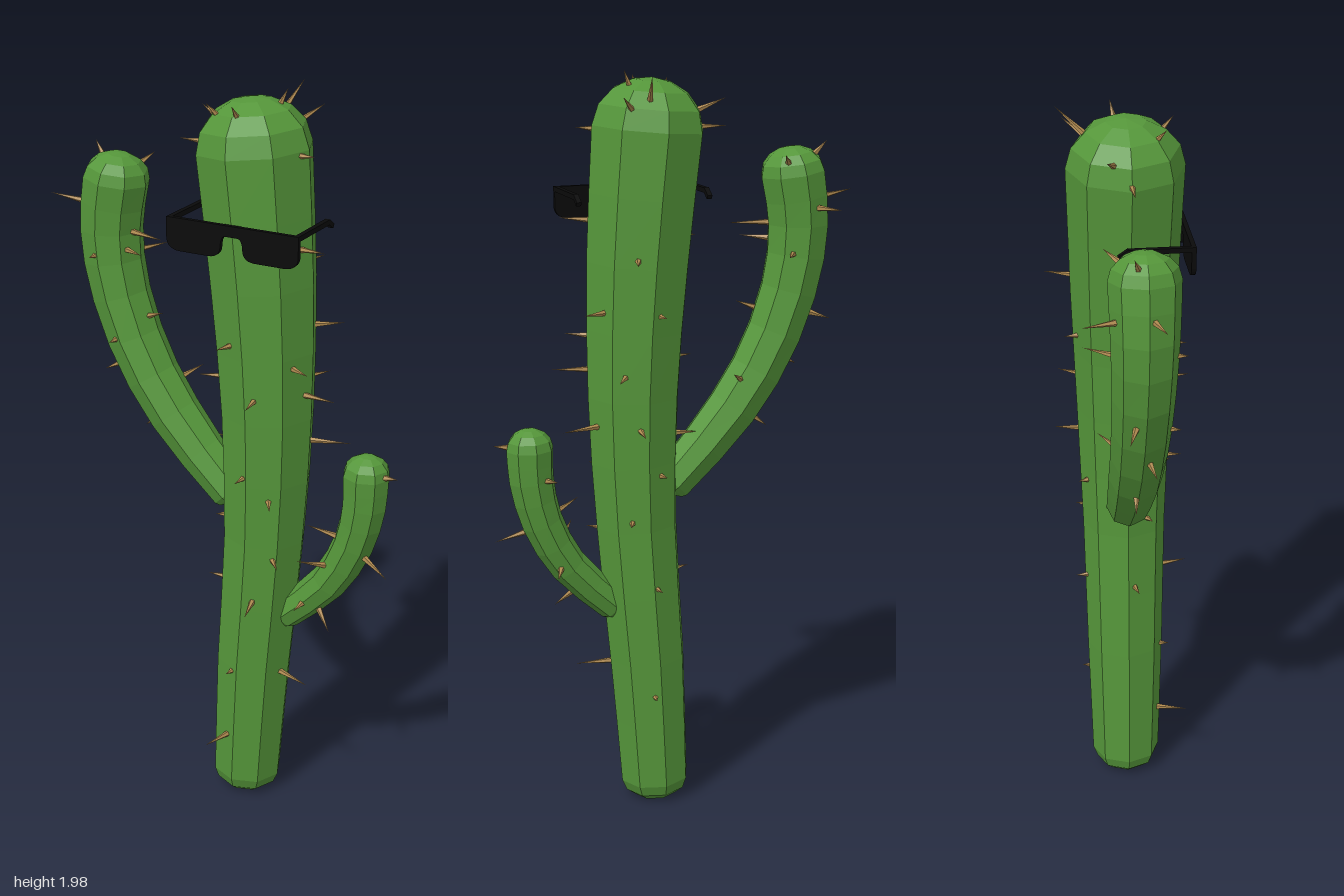
import * as THREE from 'three';

const green = new THREE.MeshStandardMaterial({ color: 0x55963a, flatShading: true });
const tan = new THREE.MeshStandardMaterial({ color: 0xb08a50, flatShading: true });
const black = new THREE.MeshStandardMaterial({ color: 0x0a0a0a });
const SIDES = 8;
const Z = new THREE.Vector3(0, 0, 1);
const Z_MID = 0.01;

// An octagonal stem along points [x, y, radius], with a domed top and a rounded foot
function makeStem(name, points, domeHeight, footHeight, steps) {
  const curve = new THREE.CatmullRomCurve3(points.map(([x, y]) => new THREE.Vector3(x, y, Z_MID)));
  const frame = (t) => {
    const f = t * (points.length - 1);
    const i = Math.min(Math.floor(f), points.length - 2);
    const T = curve.getTangent(t);
    return {
      c: curve.getPoint(t), T, A: new THREE.Vector3(T.y, -T.x, 0),
      r: THREE.MathUtils.lerp(points[i][2], points[i + 1][2], f - i),
    };
  };
  const radial = (fr, a) => fr.A.clone().multiplyScalar(Math.cos(a)).addScaledVector(Z, Math.sin(a));

  const pos = [], index = [];
  const addRing = (fr, scale, shift) => {
    for (let i = 0; i < SIDES; i++) {
      const p = fr.c.clone().addScaledVector(fr.T, shift)
        .addScaledVector(radial(fr, (i / SIDES) * Math.PI * 2), fr.r * scale);
      pos.push(p.x, p.y, p.z);
    }
  };
  const first = frame(0), last = frame(1);
  addRing(first, 0.001, -footHeight);
  addRing(first, 0.62, -footHeight);
  addRing(first, 0.88, -footHeight * 0.6);
  for (let s = 0; s <= steps; s++) addRing(frame(s / steps), 1, 0);
  for (const deg of [25, 48, 70, 89.9]) {
    const a = THREE.MathUtils.degToRad(deg);
    addRing(last, Math.cos(a), domeHeight * Math.sin(a));
  }
  const rings = pos.length / 3 / SIDES;
  for (let k = 0; k < rings - 1; k++) {
    for (let i = 0; i < SIDES; i++) {
      const a = k * SIDES + i, b = k * SIDES + (i + 1) % SIDES;
      index.push(a, a + SIDES, b, b, a + SIDES, b + SIDES);
    }
  }
  const geo = new THREE.BufferGeometry();
  geo.setAttribute('position', new THREE.Float32BufferAttribute(pos, 3));
  geo.setIndex(index);
  geo.computeVertexNormals();
  const mesh = new THREE.Mesh(geo, green);
  mesh.name = name;

  // Spines given as [height, angle, length, tilt]; angle 0 is +x, 90 is the front
  const addSpines = (list) => {
    const group = new THREE.Group();
    group.name = name + 'Spines';
    for (const [y, deg, len, tiltDeg = 0] of list) {
      let lo = 0, hi = 1;
      for (let n = 0; n < 20; n++) {
        const mid = (lo + hi) / 2;
        if (curve.getPoint(mid).y < y) lo = mid; else hi = mid;
      }
      const fr = frame(lo), tilt = THREE.MathUtils.degToRad(tiltDeg);
      const out = radial(fr, THREE.MathUtils.degToRad(deg));
      const dir = out.clone().multiplyScalar(Math.cos(tilt)).addScaledVector(fr.T, Math.sin(tilt));
      const base = fr.c.clone().addScaledVector(out, fr.r * 0.9 * Math.cos(tilt))
        .addScaledVector(fr.T, domeHeight * 0.9 * Math.sin(tilt));
      const spine = new THREE.Mesh(new THREE.ConeGeometry(0.0085, len, 5).translate(0, len / 2, 0), tan);
      spine.name = 'spine';
      spine.position.copy(base);
      spine.quaternion.setFromUnitVectors(new THREE.Vector3(0, 1, 0), dir.normalize());
      group.add(spine);
    }
    return group;
  };
  return { mesh, addSpines };
}

// Sunglasses: one front plate with both lenses, plus two hooked temples
function makeSunglasses() {
  const glasses = new THREE.Group();
  glasses.name = 'sunglasses';
  const half = 0.183, top = 0.042, low = -0.042;
  const s = new THREE.Shape();
  s.moveTo(-half, top);
  s.lineTo(-half, -0.015);
  s.quadraticCurveTo(-half + 0.005, low, -half + 0.04, low);
  s.lineTo(-0.065, low);
  s.quadraticCurveTo(-0.033, low, -0.031, -0.015);
  s.quadraticCurveTo(-0.03, 0.013, -0.018, 0.014);
  s.lineTo(0.018, 0.014);
  s.quadraticCurveTo(0.03, 0.013, 0.031, -0.015);
  s.quadraticCurveTo(0.033, low, 0.065, low);
  s.lineTo(half - 0.04, low);
  s.quadraticCurveTo(half - 0.005, low, half, -0.015);
  s.lineTo(half, top);
  s.closePath();
  const front = new THREE.Mesh(
    new THREE.ExtrudeGeometry(s, { depth: 0.012, bevelEnabled: false, curveSegments: 6 }), black);
  front.name = 'lensFrame';
  front.position.z = 0.156;
  glasses.add(front);
  for (const side of [-1, 1]) {
    const temple = new THREE.Mesh(new THREE.BoxGeometry(0.013, 0.013, 0.164), black);
    temple.name = 'temple';
    temple.position.set(side * (half - 0.0065), top - 0.0065, 0.08);
    const hook = new THREE.Mesh(new THREE.BoxGeometry(0.013, 0.012, 0.032), black);
    hook.name = 'templeHook';
    hook.position.set(side * (half - 0.0065), top - 0.013, -0.011);
    hook.rotation.x = -0.6;
    glasses.add(temple, hook);
  }
  glasses.position.set(0.092, 1.641, 0);
  return glasses;
}

export function createModel() {
  const model = new THREE.Group();
  model.name = 'cactus';

  const trunk = makeStem('trunk', [
    [0.06, 0.06, 0.095], [0.08, 0.42, 0.105], [0.108, 0.8, 0.112],
    [0.115, 1.15, 0.125], [0.1, 1.5, 0.14], [0.071, 1.84, 0.151],
  ], 0.128, 0.05, 10);
  const rightArm = makeStem('rightArm', [
    [0.01, 0.9, 0.058], [-0.15, 1.07, 0.07], [-0.265, 1.245, 0.075],
    [-0.335, 1.44, 0.08], [-0.35, 1.59, 0.085], [-0.333, 1.71, 0.089],
  ], 0.07, 0.02, 9);
  const leftArm = makeStem('leftArm', [
    [0.175, 0.575, 0.045], [0.3, 0.7, 0.05], [0.37, 0.83, 0.055],
    [0.397, 0.947, 0.06], [0.4, 1.03, 0.063],
  ], 0.055, 0.015, 8);
  model.add(trunk.mesh, rightArm.mesh, leftArm.mesh);

  // Trunk spines, then those on its crown
  model.add(trunk.addSpines([
    [1.83, 10, 0.05], [1.6, 15, 0.08], [1.38, -30, 0.08], [1.3, 30, 0.07], [1.22, 10, 0.1],
    [1.08, -15, 0.11], [0.41, 15, 0.1], [1.57, 170, 0.04], [1.24, 165, 0.07], [1.04, 190, 0.06],
    [0.85, 150, 0.03], [0.64, 170, 0.05], [1.36, 110, 0.05], [1.22, 80, 0.07], [1.0, 95, 0.05],
    [0.64, 75, 0.09], [0.41, 100, 0.03], [0.2, 105, 0.09], [0.94, 60, 0.06], [0.77, 50, 0.06],
    [1.52, -70, 0.09], [1.38, -100, 0.04], [1.22, -60, 0.08], [1.08, -80, 0.08], [0.95, -110, 0.03],
    [0.83, -65, 0.04], [0.64, -95, 0.04], [0.33, -80, 0.03],
  ]), trunk.addSpines([
    [1.84, 180, 0.08, 5], [1.84, 200, 0.08, 28], [1.84, -70, 0.1, 40], [1.84, -50, 0.08, 25],
    [1.84, 85, 0.05, 50], [1.84, 130, 0.05, 50], [1.84, -20, 0.05, 60],
  ]));
  model.add(rightArm.addSpines([
    [1.63, 170, 0.1], [1.58, 15, 0.11], [1.53, 30, 0.08], [1.5, -60, 0.09], [1.62, -110, 0.09],
    [1.33, 10, 0.06], [1.36, 200, 0.06], [1.24, 165, 0.05], [1.1, 185, 0.05], [1.15, -45, 0.07],
    [1.52, 95, 0.03], [1.3, 100, 0.03], [1.71, 200, 0.05, 40], [1.71, -60, 0.05, 35],
  ]));
  model.add(leftArm.addSpines([
    [0.82, 20, 0.09], [0.65, 25, 0.07], [0.83, 160, 0.08], [0.75, 130, 0.09],
    [0.64, 90, 0.05], [0.95, -120, 0.04], [0.72, -60, 0.05], [1.03, 10, 0.04, 10],
  ]));
  model.add(makeSunglasses());
  return model;
}
